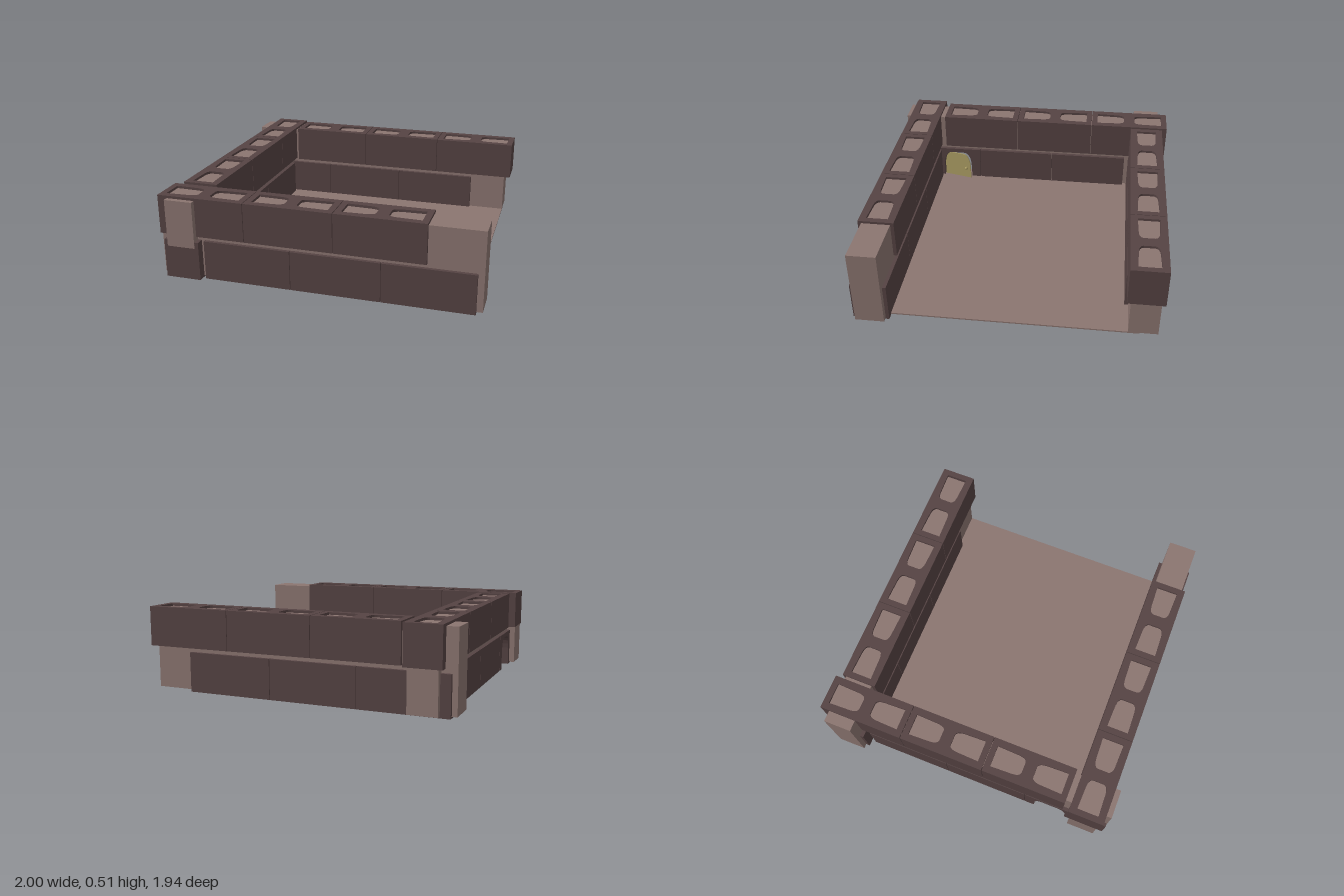
import * as THREE from 'three';

const L = 0.55, W = 0.224, H = 0.245; // block pitch, thickness, height

// Hollow block: rectangle with two cells rounded toward the middle web
function blockGeometry() {
  const l = L / 2 - 0.002, w = W / 2;
  const s = new THREE.Shape([[-l, -w], [l, -w], [l, w], [-l, w]].map(p => new THREE.Vector2(...p)));
  for (const k of [-1, 1]) {
    const h = new THREE.Path();
    h.moveTo(k * 0.235, -0.068);
    h.lineTo(k * 0.09, -0.063);
    h.quadraticCurveTo(k * 0.042, -0.06, k * 0.038, -0.035);
    h.lineTo(k * 0.038, 0.035);
    h.quadraticCurveTo(k * 0.042, 0.06, k * 0.09, 0.063);
    h.lineTo(k * 0.235, 0.068);
    h.closePath();
    s.holes.push(h);
  }
  const g = new THREE.ExtrudeGeometry(s, { depth: H, bevelEnabled: false, curveSegments: 4 });
  return g.rotateX(-Math.PI / 2);
}

// Arch outline centred on u = 0, walked from the right foot to the left foot
function traceArch(path, r, top) {
  path.lineTo(r, 0);
  path.lineTo(r * 0.97, top * 0.55);
  path.bezierCurveTo(r * 0.92, top * 0.88, r * 0.7, top, r * 0.4, top);
  path.lineTo(-r * 0.4, top);
  path.bezierCurveTo(-r * 0.7, top, -r * 0.92, top * 0.88, -r * 0.97, top * 0.55);
  path.lineTo(-r, 0);
}

export function createModel() {
  const model = new THREE.Group();
  model.name = 'blockEnclosure';
  const blockMat = new THREE.MeshStandardMaterial({ color: 0x554343 });
  blockMat.name = 'darkBlock';
  const mortarMat = new THREE.MeshStandardMaterial({ color: 0x8b7570 });
  mortarMat.name = 'paleMortar';
  const doorMat = new THREE.MeshStandardMaterial({ color: 0xa89a62 });
  doorMat.name = 'tanDoor';

  const add = (name, geo, mat, parent = model) => {
    const m = new THREE.Mesh(geo, mat);
    m.name = name;
    parent.add(m);
    return m;
  };
  // Box given by its minimum and maximum corners
  const span = (name, a, b, mat) => {
    const g = new THREE.BoxGeometry(b[0] - a[0], b[1] - a[1], b[2] - a[2]);
    add(name, g, mat).position.set((a[0] + b[0]) / 2, (a[1] + b[1]) / 2, (a[2] + b[2]) / 2);
  };

  // Floor slab
  span('floor', [-0.8, 0.003, -0.8], [0.92, 0.012, 0.8], mortarMat);

  // Mortar cores inside the walls
  span('frontCore', [-0.965, 0.01, 0.737], [1.0, 0.5, 0.917], mortarMat);
  span('backCore', [-1.0, 0.01, -0.911], [0.92, 0.5, -0.731], mortarMat);
  span('sideCore', [-0.907, 0.01, -0.964], [-0.729, 0.5, 0.43], mortarMat);
  span('sideCoreOverDoor', [-0.907, 0.205, 0.43], [-0.729, 0.5, 0.972], mortarMat);

  // Courses of blocks: [name, start along wall, y, count, fixed coordinate, runs along z]
  const geo = blockGeometry();
  const courses = [
    ['frontLower', -0.685, 0, 3, 0.827, false],
    ['frontUpper', -0.97, 0.27, 3, 0.827, false],
    ['backLower', -0.97, 0, 3, -0.819, false],
    ['backUpper', -0.685, 0.27, 3, -0.819, false],
    ['sideLower', -0.68, 0, 2, -0.817, true],
    ['sideUpper', -0.97, 0.27, 3, -0.817, true],
  ];
  for (const [name, start, y, count, fixed, alongZ] of courses) {
    const row = new THREE.Group();
    row.name = name + 'Course';
    model.add(row);
    for (let i = 0; i < count; i++) {
      const b = add(name + 'Block', geo, blockMat, row);
      const t = start + (i + 0.5) * L;
      b.position.set(alongZ ? fixed : t, y, alongZ ? t : fixed);
      if (alongZ) b.rotation.y = Math.PI / 2;
    }
  }

  // Corner block with the arched doorway
  const doorZ = 0.595;
  const arch = new THREE.Shape();
  arch.moveTo(0.97 - doorZ, H);
  arch.lineTo(0.422 - doorZ, H);
  arch.lineTo(0.422 - doorZ, 0);
  const foot = new THREE.Path();
  foot.moveTo(0.108, 0);
  traceArch(foot, 0.108, 0.215);
  for (const p of foot.getPoints(6).reverse()) arch.lineTo(p.x, p.y);
  arch.lineTo(0.97 - doorZ, 0);
  const archGeo = new THREE.ExtrudeGeometry(arch, { depth: W, bevelEnabled: false });
  archGeo.rotateY(-Math.PI / 2);
  add('doorwayBlock', archGeo, blockMat).position.set(-0.705, 0, doorZ);

  // Door standing ajar, hinged at its front edge
  const door = new THREE.Group();
  door.name = 'door';
  door.position.set(-0.728, 0, 0.7);
  door.rotation.y = -0.23;
  model.add(door);
  const leaf = new THREE.Shape();
  leaf.moveTo(0.106, 0);
  traceArch(leaf, 0.106, 0.207);
  const leafGeo = new THREE.ExtrudeGeometry(leaf, { depth: 0.008, bevelEnabled: false, curveSegments: 6 });
  leafGeo.rotateY(-Math.PI / 2);
  add('doorLeaf', leafGeo, doorMat, door).position.set(0.004, 0.003, -0.108);
  for (const k of [-1, 1]) {
    add('doorKnob', new THREE.SphereGeometry(0.012, 12, 8), doorMat, door).position.set(k * 0.014, 0.095, -0.18);
  }
  return model;
}
